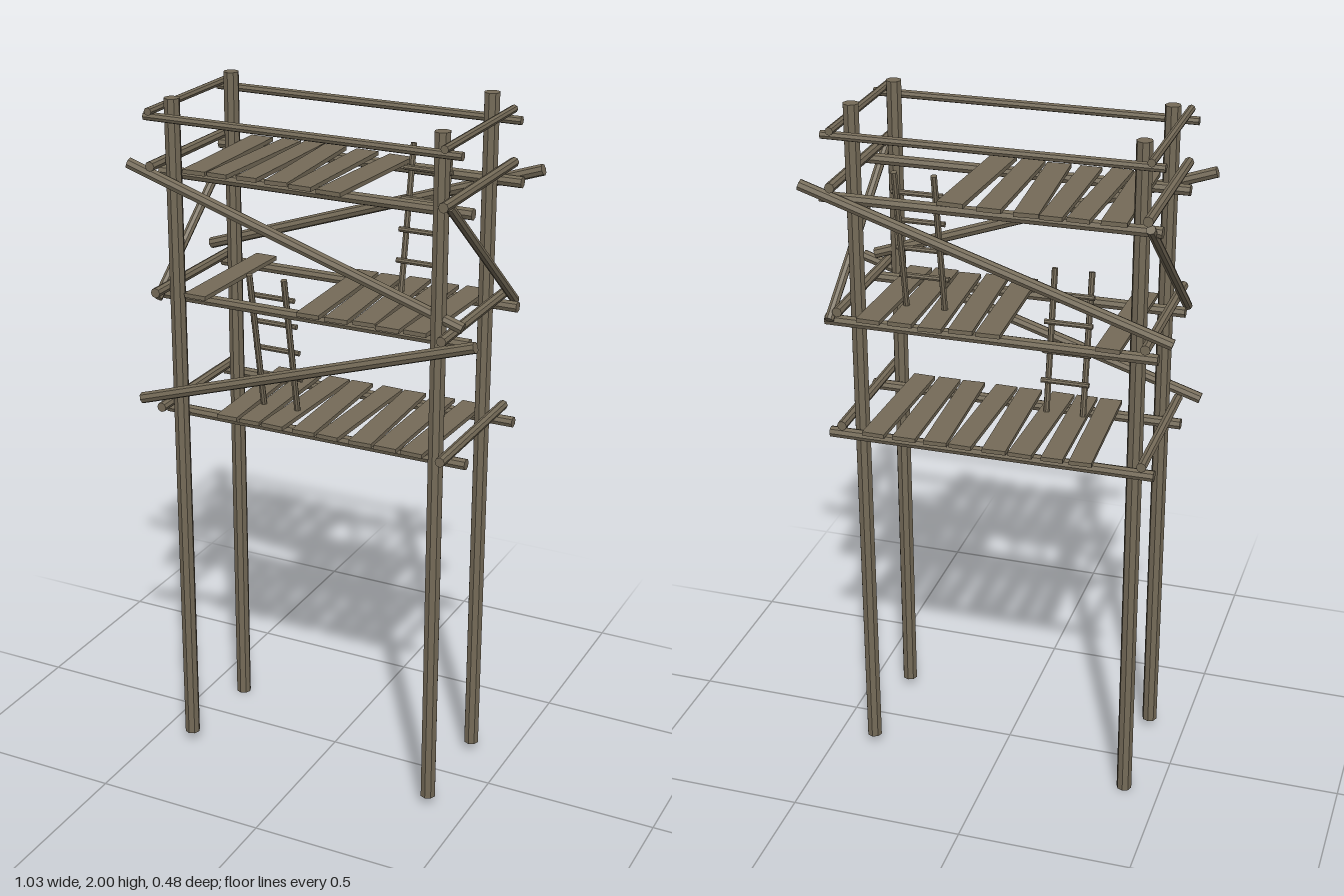
import * as THREE from 'three';

const wood = new THREE.MeshStandardMaterial({ color: 0x756b58, flatShading: true });
wood.name = 'weathered wood';

// Round log between two points
function log(parent, name, a, b, radius) {
  const from = new THREE.Vector3(...a), to = new THREE.Vector3(...b);
  const dir = to.clone().sub(from);
  const mesh = new THREE.Mesh(new THREE.CylinderGeometry(radius, radius, dir.length(), 8), wood);
  mesh.name = name;
  mesh.position.copy(from).add(to).multiplyScalar(0.5);
  mesh.quaternion.setFromUnitVectors(new THREE.Vector3(0, 1, 0), dir.normalize());
  parent.add(mesh);
}

// Row of loose boards; each entry is [x, width, z centre, yaw]
function floorBoards(parent, name, y, boards) {
  const floor = new THREE.Group();
  floor.name = name;
  for (const [x, width, z, yaw] of boards) {
    const board = new THREE.Mesh(new THREE.BoxGeometry(width, 0.012, 0.4), wood);
    board.name = 'board';
    board.position.set(x, y, z);
    board.rotation.y = yaw;
    floor.add(board);
  }
  parent.add(floor);
}

// Leaning ladder with rungs fixed to one face of the stiles
function ladder(parent, name, x0, x1, bottom, top, rungHeights, rungOffset) {
  const group = new THREE.Group();
  group.name = name;
  for (const x of [x0, x1]) log(group, 'ladderStile', [x, ...bottom], [x, ...top], 0.009);
  for (const y of rungHeights) {
    const t = (y - bottom[0]) / (top[0] - bottom[0]);
    const z = bottom[1] + (top[1] - bottom[1]) * t + rungOffset;
    log(group, 'ladderRung', [x0 - 0.015, y, z], [x1 + 0.017, y, z], 0.008);
  }
  parent.add(group);
}

export function createModel() {
  const tower = new THREE.Group();
  tower.name = 'scaffoldTower';

  // Four tall posts: x, z, bottom, top
  for (const [x, z, y0, y1] of [
    [-0.395, 0.173, 0.03, 1.97], [0.383, 0.173, 0.03, 1.97],
    [-0.395, -0.147, 0, 1.975], [0.383, -0.147, 0.03, 2],
  ]) log(tower, 'post', [x, y0, z], [x, y1, z], 0.022);

  // Long rails and cross beams of each floor: rail height, beam height, beam ends
  for (const [railY, beamY, z0, z1] of [
    [1.065, 1.1, 0.225, -0.22], [1.405, 1.44, 0.235, -0.22], [1.755, 1.795, 0.24, -0.235],
  ]) {
    log(tower, 'frontFloorRail', [-0.46, railY, 0.133], [0.455, railY, 0.133], 0.016);
    log(tower, 'backFloorRail', [-0.46, railY, -0.192], [0.46, railY, -0.192], 0.016);
    for (const x of [-0.43, 0.417]) log(tower, 'crossBeam', [x, beamY, z0], [x, beamY, z1], 0.014);
  }

  // Thin guard rails around the top
  for (const z of [0.207, -0.187]) log(tower, 'guardRail', [-0.46, 1.922, z], [0.453, 1.922, z], 0.012);
  for (const x of [-0.43, 0.417]) log(tower, 'guardCrossRail', [x, 1.943, 0.24], [x, 1.943, -0.22], 0.011);

  // Diagonal braces
  log(tower, 'frontUpperBrace', [-0.515, 1.787, 0.207], [0.45, 1.46, 0.17], 0.016);
  log(tower, 'frontLowerBrace', [-0.497, 1.113, 0.214], [0.503, 1.432, 0.212], 0.016);
  log(tower, 'backBrace', [-0.497, 1.452, -0.192], [0.508, 1.79, -0.217], 0.016);
  log(tower, 'leftSideBrace', [0.415, 1.785, 0.195], [0.44, 1.415, -0.22], 0.013);
  log(tower, 'rightSideBrace', [-0.456, 1.405, 0.18], [-0.434, 1.77, -0.22], 0.013);

  // Boards, leaving gaps where the ladders come through
  floorBoards(tower, 'lowerFloor', 1.085, [
    [-0.255, 0.062, -0.02, 0.04], [-0.18, 0.06, -0.02, 0.02], [-0.1, 0.066, -0.02, -0.03],
    [-0.015, 0.066, -0.02, 0.03], [0.07, 0.064, -0.02, -0.03], [0.155, 0.066, -0.02, 0.04],
    [0.237, 0.066, -0.02, 0], [0.32, 0.064, -0.02, -0.03],
  ]);
  floorBoards(tower, 'middleFloor', 1.426, [
    [-0.335, 0.066, -0.02, -0.02], [0, 0.066, -0.02, 0.03], [0.08, 0.066, -0.02, 0.05],
    [0.16, 0.064, -0.03, 0.04], [0.24, 0.068, -0.02, 0], [0.322, 0.066, -0.025, -0.03],
  ]);
  floorBoards(tower, 'upperFloor', 1.775, [
    [-0.336, 0.068, -0.022, 0.02], [-0.256, 0.06, -0.025, -0.04], [-0.178, 0.06, -0.03, 0],
    [-0.1, 0.066, -0.028, 0.06], [-0.012, 0.066, -0.02, -0.01], [0.085, 0.072, -0.01, -0.06],
  ]);

  ladder(tower, 'lowerLadder', -0.198, -0.092, [1.09, 0.052], [1.495, 0.125],
    [1.185, 1.268, 1.35, 1.43], -0.014);
  ladder(tower, 'upperLadder', 0.153, 0.262, [1.43, -0.098], [1.833, -0.168],
    [1.52, 1.604, 1.688, 1.77], 0.014);

  return tower;
}
